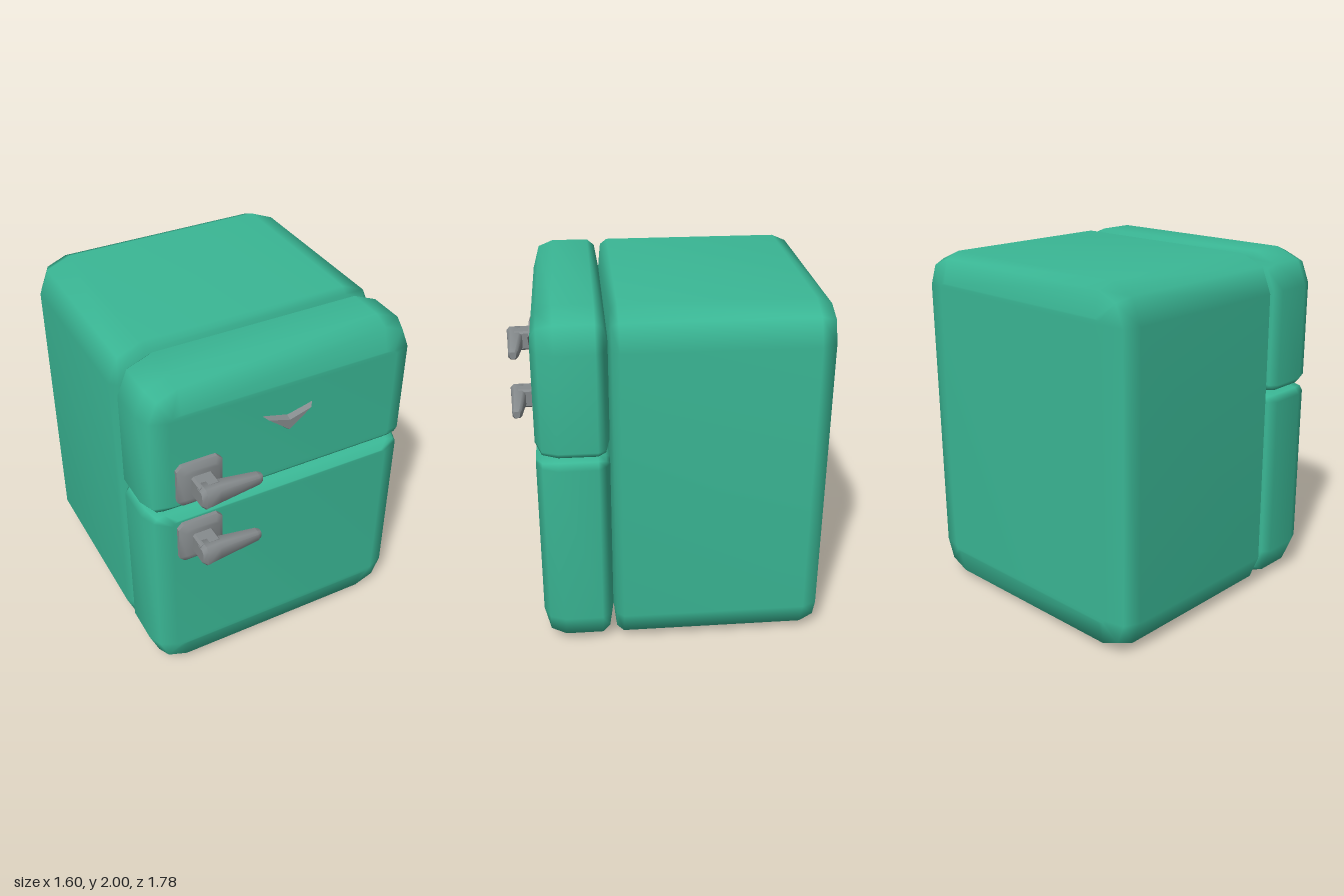
import * as THREE from 'three';
import { toCreasedNormals } from 'three/addons/utils/BufferGeometryUtils.js';

const green = new THREE.MeshStandardMaterial({ color: 0x3ab795 });
green.name = 'green enamel';
const grey = new THREE.MeshStandardMaterial({ color: 0x868b8d });
grey.name = 'grey metal';

// Closed skin over equal-length rings of [x, y, z], with laddered end caps
function loft(rings) {
  const n = rings[0].length;
  const pts = rings.flat();
  const index = [];
  const quad = (a, b, c, d) => index.push(a, b, d, b, c, d);
  for (let r = 0; r < rings.length - 1; r++) {
    for (let i = 0; i < n; i++) {
      const j = (i + 1) % n;
      quad(r * n + i, r * n + j, (r + 1) * n + j, (r + 1) * n + i);
    }
  }
  const last = (rings.length - 1) * n;
  for (let i = 0; i < n / 2 - 1; i++) {
    quad(n - 1 - i, n - 2 - i, i + 1, i);
    quad(last + i, last + i + 1, last + n - 2 - i, last + n - 1 - i);
  }
  // Turn the faces outward if the rings ran the other way
  const v = (i) => new THREE.Vector3(...pts[i]);
  let volume = 0;
  for (let i = 0; i < index.length; i += 3) {
    volume += v(index[i]).dot(v(index[i + 1]).cross(v(index[i + 2])));
  }
  if (volume < 0) index.reverse();
  const geo = new THREE.BufferGeometry();
  geo.setAttribute('position', new THREE.Float32BufferAttribute(pts.flat(), 3));
  geo.setIndex(index);
  geo.computeVertexNormals();
  return geo;
}

function addMesh(parent, name, geo, material) {
  const mesh = new THREE.Mesh(geo, material);
  mesh.name = name;
  parent.add(mesh);
  return mesh;
}

// Soft slab: corner radii are [rx, ry]; sections are [z, sideInset, topInset, bottomInset]
function slab(y0, y1, topR, bottomR, sections) {
  return loft(sections.map(([z, side, top, bottom]) => {
    const x = 0.8 - side;
    const t = y1 - top;
    const b = y0 + bottom;
    const r = (radius, inset) => Math.max(radius - inset, 0.03);
    const tx = r(topR[0], side), ty = r(topR[1], top);
    const bx = r(bottomR[0], side), by = r(bottomR[1], bottom);
    const right = [
      [x - tx, t, z], [x - 0.29 * tx, t - 0.29 * ty, z], [x, t - ty, z],
      [x, b + by, z], [x - 0.29 * bx, b + 0.29 * by, z], [x - bx, b, z],
    ];
    const left = right.map(([px, py, pz]) => [-px, py, pz]).reverse();
    return [...right, ...left];
  }));
}

// Rectangle with cut corners, as [u, v] pairs
function octagon(w, h, c) {
  const right = [[w - c, h], [w, h - c], [w, c - h], [w - c, -h]];
  return [...right, ...right.map(([u, v]) => [-u, v]).reverse()];
}

const alongZ = ([z, w, h, c]) => octagon(w, h, c).map(([u, v]) => [u, v, z]);
const alongX = ([x, z, w, h, c]) => octagon(w, h, c).map(([u, v]) => [x, v, z + u]);

function makeHandle(name, y) {
  const handle = new THREE.Group();
  handle.name = name;

  // Mounting plate
  const plate = loft([
    [0.68, 0.13, 0.13, 0.03], [0.725, 0.13, 0.13, 0.03], [0.747, 0.1, 0.1, 0.02],
  ].map(alongZ));
  addMesh(handle, 'handlePlate', toCreasedNormals(plate, 0.7), grey).position.x = -0.52;

  // Stem standing out from the plate
  const stem = loft([[0.74, 0.06, 0.062, 0.012], [0.84, 0.06, 0.062, 0.012]].map(alongZ));
  addMesh(handle, 'handleStem', toCreasedNormals(stem, 0.7), grey).position.x = -0.52;

  // Tapered lever: x, z, half depth, half height, corner cut
  const lever = loft([
    [-0.583, 0.84, 0.035, 0.042, 0.012],
    [-0.56, 0.84, 0.052, 0.064, 0.02],
    [-0.48, 0.838, 0.047, 0.059, 0.02],
    [-0.25, 0.842, 0.03, 0.034, 0.014],
    [-0.226, 0.842, 0.018, 0.022, 0.008],
  ].map(alongX));
  addMesh(handle, 'handleLever', toCreasedNormals(lever, 0.8), grey);

  handle.position.y = y;
  return handle;
}

export function createModel() {
  const model = new THREE.Group();
  model.name = 'refrigerator';
  const big = [0.2, 0.2];
  const small = [0.1, 0.05];

  // Cabinet
  addMesh(model, 'cabinet', slab(0, 2, big, big, [
    [-0.89, 0.16, 0.17, 0.17], [-0.862, 0.04, 0.035, 0.035], [-0.78, 0, 0, 0],
    [0.25, 0, 0, 0], [0.288, 0.035, 0.03, 0.03], [0.302, 0.14, 0.17, 0.17],
  ]), green);

  // Doors: the edge facing the gap has a tighter curve than the outer one
  const doorSections = [
    [0.305, 0.13, 0.17, 0.05], [0.328, 0.035, 0.035, 0.015], [0.37, 0, 0, 0],
    [0.58, 0, 0, 0], [0.665, 0.035, 0.035, 0.015], [0.702, 0.13, 0.17, 0.05],
  ];
  addMesh(model, 'freezerDoor', slab(1.203, 2, big, small, doorSections), green);
  addMesh(model, 'mainDoor', slab(0, 1.2, small, big,
    doorSections.map(([z, s, outer, inner]) => [z, s, inner, outer])), green);

  // Handles
  model.add(makeHandle('freezerHandle', 1.4), makeHandle('mainHandle', 1.004));

  // Chevron trim with sloped sides
  const chevron = loft([
    [[-0.158, 1.672, 0.69], [0, 1.632, 0.69], [0.158, 1.672, 0.69], [0, 1.532, 0.69]],
    [[-0.125, 1.652, 0.733], [0, 1.614, 0.733], [0.125, 1.652, 0.733], [0, 1.552, 0.733]],
  ]);
  addMesh(model, 'chevronTrim', toCreasedNormals(chevron, 0.3), grey);

  return model;
}
